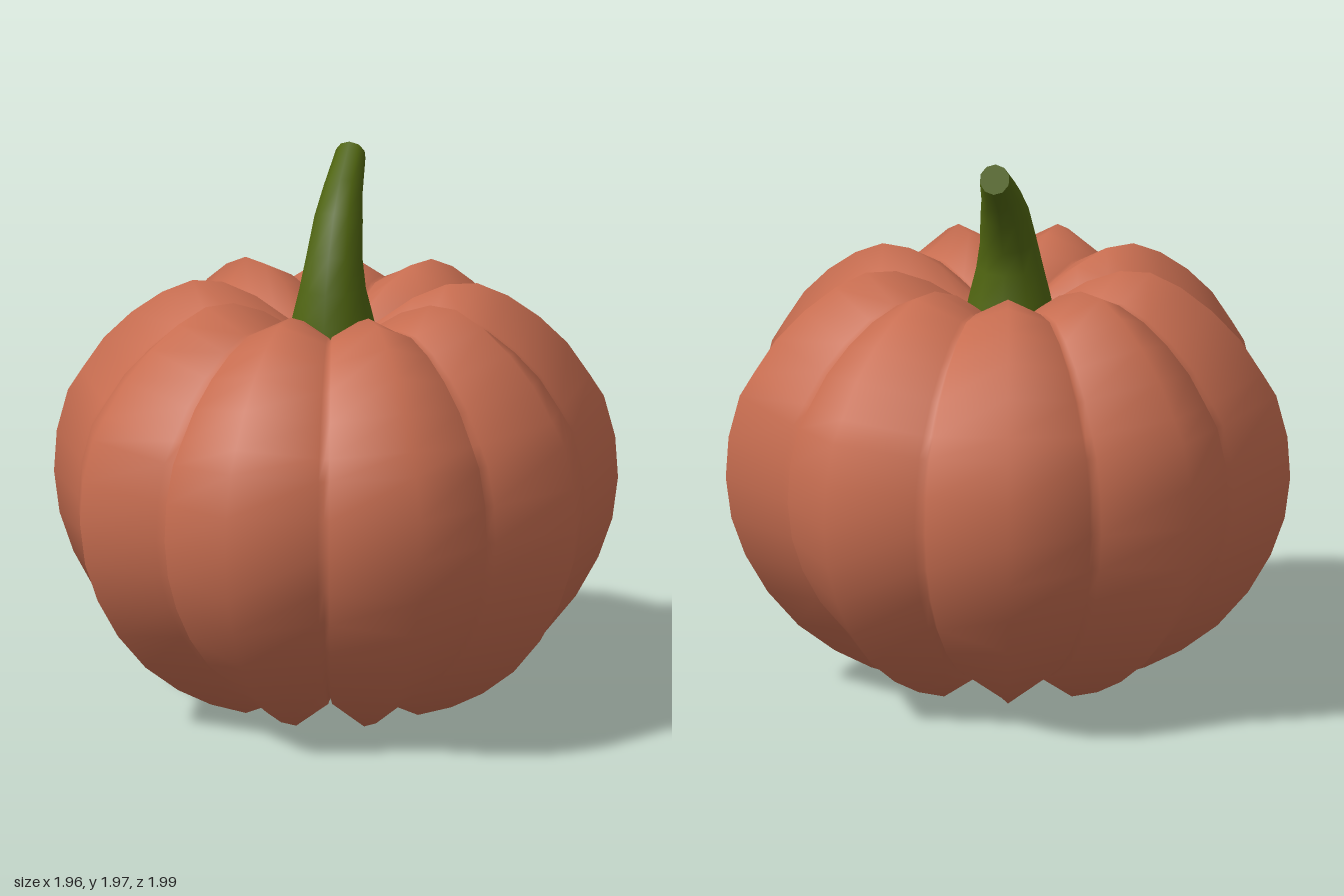
import * as THREE from 'three';

// Closed skin over rings of points, listed bottom to top; angles run from +x to +z
function skin(rings) {
  const n = rings[0].length;
  const index = [];
  for (let j = 0; j < rings.length - 1; j++) {
    for (let i = 0; i < n; i++) {
      const k = (i + 1) % n;
      const a = j * n + i, b = a + n, c = j * n + k, d = c + n;
      index.push(a, b, c, b, d, c);
    }
  }
  const geometry = new THREE.BufferGeometry().setFromPoints(rings.flat());
  geometry.setIndex(index);
  geometry.computeVertexNormals();
  return geometry;
}

export function createModel() {
  const rind = new THREE.MeshStandardMaterial({ color: 0xc76d50 });
  rind.name = 'orange rind';
  const stalk = new THREE.MeshStandardMaterial({ color: 0x4f6410 });
  stalk.name = 'stem green';

  const group = new THREE.Group();
  group.name = 'pumpkin';
  const centreX = 0.03, midY = 0.77;

  // Body: nine lobes; each column of the profile is pulled in at the grooves
  const profile = [
    [0, 0.13], [0.12, 0.07], [0.24, 0.02], [0.35, 0], [0.49, 0.05], [0.62, 0.12],
    [0.75, 0.22], [0.86, 0.35], [0.94, 0.49], [0.99, 0.63], [1.01, 0.78], [1.0, 0.93],
    [0.96, 1.08], [0.91, 1.16], [0.83, 1.28], [0.73, 1.38], [0.62, 1.46], [0.51, 1.51],
    [0.4, 1.51], [0.28, 1.465], [0.18, 1.4], [0.1, 1.34], [0, 1.3],
  ];
  const lobes = 9;
  // angle within a lobe in degrees, scale about the middle
  const columns = [[0, 0.875], [1.3, 0.9], [20, 1], [38.7, 0.9]];
  const bodyRings = profile.map(([r, y]) => {
    const ring = [];
    for (let l = 0; l < lobes; l++) {
      for (const [deg, scale] of columns) {
        const a = THREE.MathUtils.degToRad(l * 40 + deg);
        const sy = THREE.MathUtils.lerp(1, scale, Math.min(1, r / 0.3));
        ring.push(new THREE.Vector3(
          centreX + r * scale * Math.cos(a), midY + (y - midY) * sy, r * scale * Math.sin(a)));
      }
    }
    return ring;
  });
  const body = new THREE.Mesh(skin(bodyRings), rind);
  body.name = 'ribbedBody';
  group.add(body);

  // Stem: rings along a curve bending to the back: y, z, radius, tilt
  const sides = 10;
  const stations = [
    [1.28, 0, 0.17, 0], [1.4, 0, 0.145, 0], [1.51, 0, 0.118, 0.05], [1.615, -0.03, 0.1, 0.25],
    [1.74, -0.1, 0.086, 0.45], [1.825, -0.175, 0.07, 0.8], [1.92, -0.3, 0.054, 1.18],
  ];
  const stemRings = stations.map(([y, z, r, tilt]) => {
    const ring = [];
    for (let i = 0; i < sides; i++) {
      const a = (i + 0.5) / sides * Math.PI * 2;
      const s = r * Math.sin(a);
      ring.push(new THREE.Vector3(
        centreX - 0.005 + r * Math.cos(a), y + s * Math.sin(tilt), z + s * Math.cos(tilt)));
    }
    return ring;
  });
  const stem = new THREE.Mesh(skin(stemRings), stalk);
  stem.name = 'stem';
  group.add(stem);

  // Flat cut end of the stem
  const rim = stemRings[stemRings.length - 1];
  const middle = new THREE.Vector3(centreX - 0.005, 1.92, -0.3);
  const cut = new THREE.Mesh(skin([rim, rim.map(() => middle)]), stalk);
  cut.name = 'stemCutEnd';
  group.add(cut);

  return group;
}
